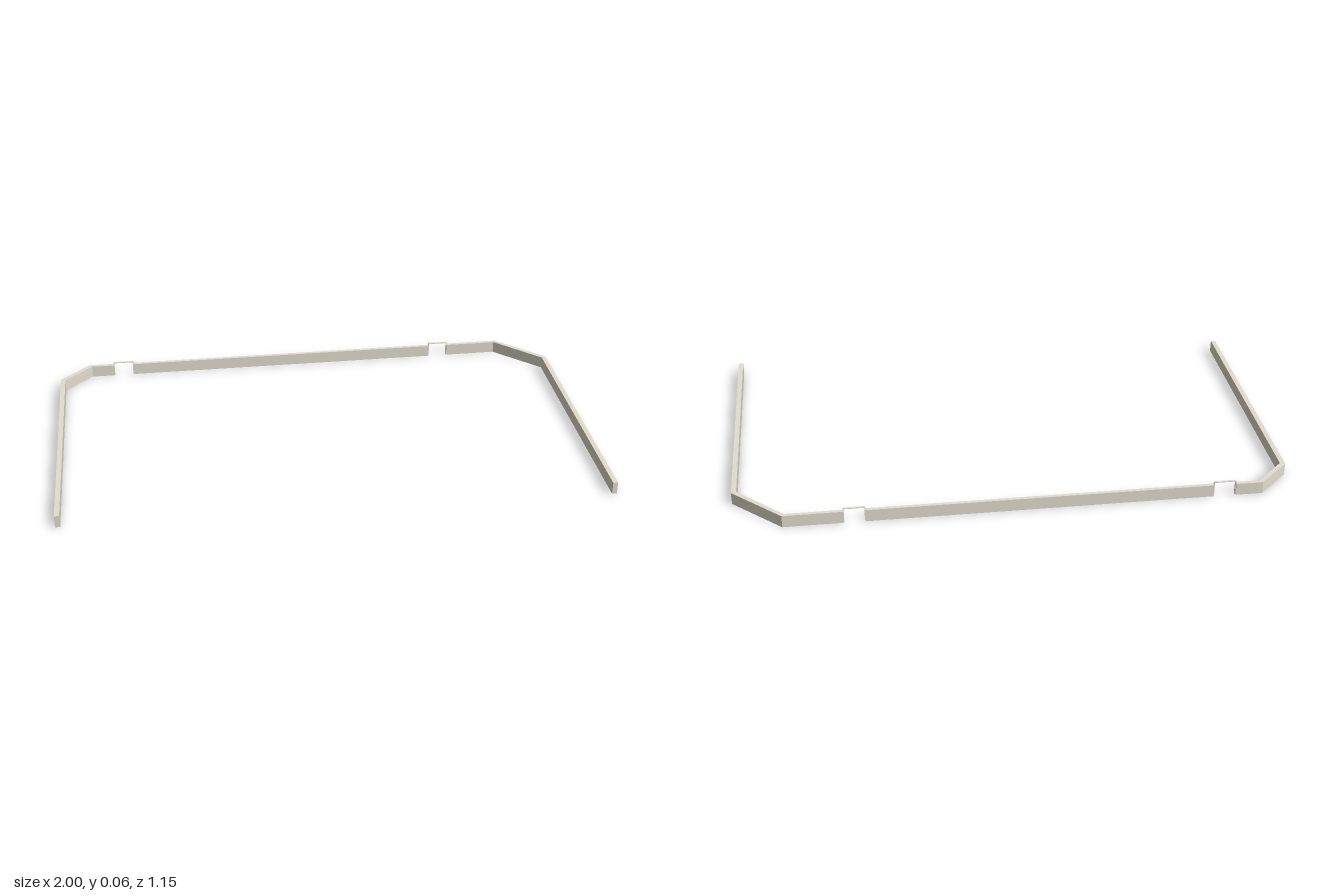
import * as THREE from 'three';
import { mergeGeometries } from 'three/addons/utils/BufferGeometryUtils.js';

const WALL_HEIGHT = 0.046;
const FRAME_TOP = 0.057;

export function createModel() {
  const model = new THREE.Group();
  model.name = 'perimeterWall';
  const stone = new THREE.MeshStandardMaterial({ color: 0xe3ddce, side: THREE.DoubleSide });
  stone.name = 'beige stone';

  // Hollow wall, open underneath, from a counter-clockwise plan of [x, z] corners
  function addWall(name, plan) {
    const shape = new THREE.Shape(plan.map(([x, z]) => new THREE.Vector2(x, -z)));
    const top = new THREE.ShapeGeometry(shape).toNonIndexed();
    top.rotateX(-Math.PI / 2).translate(0, WALL_HEIGHT, 0);
    top.deleteAttribute('uv');

    const points = [];
    plan.forEach(([x0, z0], i) => {
      const [x1, z1] = plan[(i + 1) % plan.length];
      points.push(x0, 0, z0, x1, 0, z1, x1, WALL_HEIGHT, z1);
      points.push(x0, 0, z0, x1, WALL_HEIGHT, z1, x0, WALL_HEIGHT, z0);
    });
    const sides = new THREE.BufferGeometry();
    sides.setAttribute('position', new THREE.Float32BufferAttribute(points, 3));
    sides.computeVertexNormals();

    const mesh = new THREE.Mesh(mergeGeometries([top, sides]), stone);
    mesh.name = name;
    model.add(mesh);
  }

  // Side walls with chamfered corners
  addWall('rightWall', [
    [-1, 0.527], [-0.982, 0.527], [-0.982, -0.456], [-0.876, -0.56],
    [-0.787, -0.56], [-0.787, -0.574], [-0.885, -0.574], [-1, -0.463],
  ]);
  addWall('leftWall', [
    [1, 0.575], [1, -0.404], [0.823, -0.573], [0.612, -0.573],
    [0.612, -0.56], [0.815, -0.56], [0.982, -0.396], [0.982, 0.575],
  ]);

  // Long back wall between the gateways
  addWall('backWall', [
    [-0.706, -0.573], [-0.706, -0.56], [0.534, -0.56], [0.534, -0.573],
  ]);

  // Thin gate frames bridging the gaps
  function addFrame(name, x0, x1) {
    const frame = new THREE.Group();
    frame.name = name;
    const t = 0.003;
    const bar = (part, w, h, x, y) => {
      const mesh = new THREE.Mesh(new THREE.BoxGeometry(w, h, 0.007), stone);
      mesh.name = part;
      mesh.position.set(x, y, -0.566);
      frame.add(mesh);
    };
    const postHeight = FRAME_TOP - t;
    bar('firstPost', t, postHeight, x0 + t / 2, postHeight / 2);
    bar('secondPost', t, postHeight, x1 - t / 2, postHeight / 2);
    bar('lintel', x1 - x0, t, (x0 + x1) / 2, FRAME_TOP - t / 2);
    model.add(frame);
  }
  addFrame('rightGateFrame', -0.787, -0.706);
  addFrame('leftGateFrame', 0.534, 0.612);

  return model;
}
